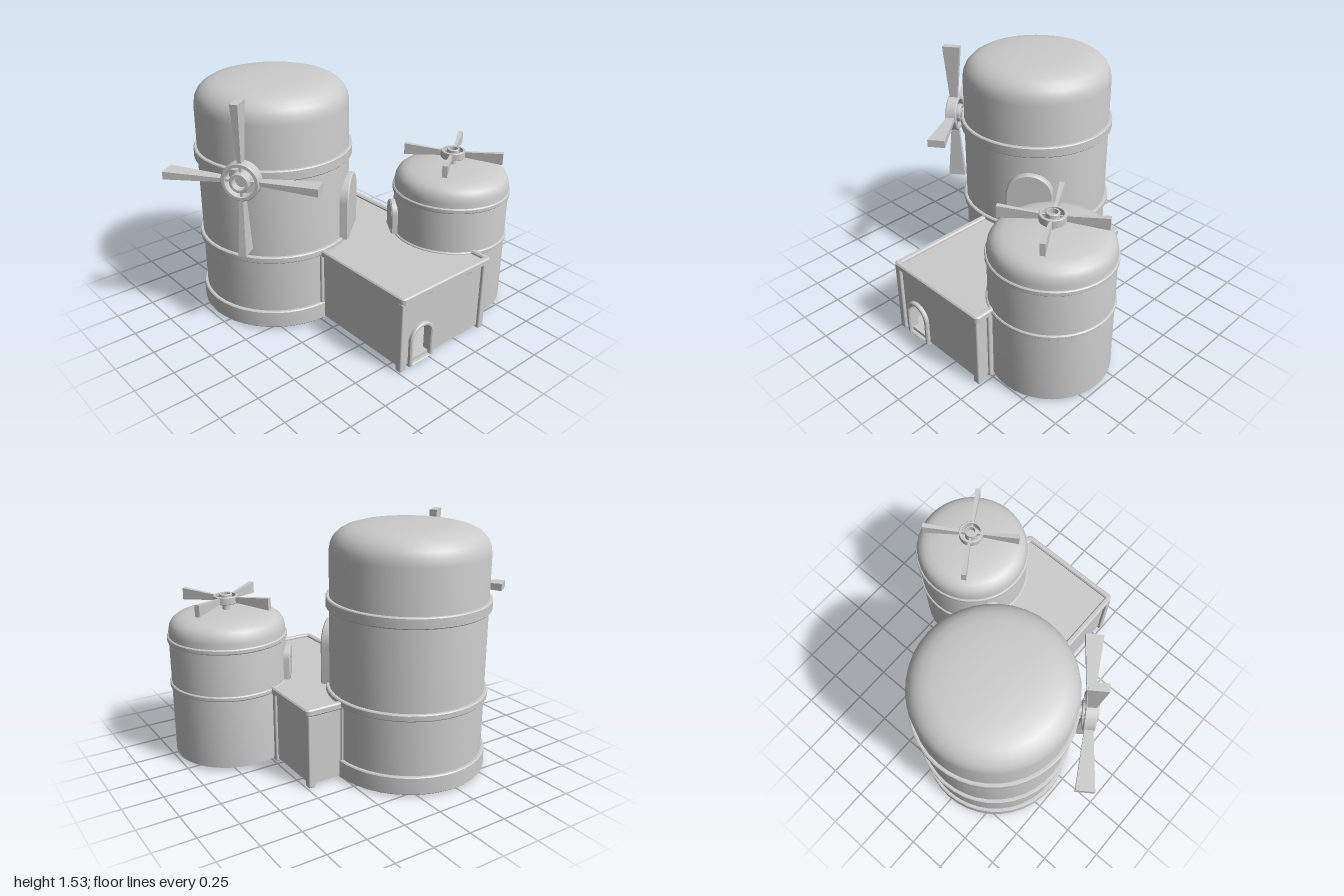
import * as THREE from 'three';
import { toCreasedNormals } from 'three/addons/utils/BufferGeometryUtils.js';
import { RoundedBoxGeometry } from 'three/addons/geometries/RoundedBoxGeometry.js';

const material = new THREE.MeshStandardMaterial({ color: 0xcccccc, side: THREE.DoubleSide });

function add(parent, name, geometry, x = 0, y = 0, z = 0) {
  const mesh = new THREE.Mesh(geometry, material);
  mesh.name = name;
  mesh.position.set(x, y, z);
  parent.add(mesh);
  return mesh;
}

function group(parent, name, x, y, z) {
  const g = new THREE.Group();
  g.name = name;
  g.position.set(x, y, z);
  parent.add(g);
  return g;
}

const lathe = (points, segments = 40) => toCreasedNormals(
  new THREE.LatheGeometry(points.map(([r, y]) => new THREE.Vector2(r, y)), segments), 0.6);

// Band with softened outer edges
function band(rIn, rOut, y0, y1, b = 0.006) {
  return lathe([[rIn, y0], [rOut - b, y0], [rOut, y0 + b], [rOut, y1 - b], [rOut - b, y1], [rIn, y1], [rIn, y0]]);
}

// Arched outline standing on y = 0
function arch(Type, half, height, cx = 0, y0 = 0) {
  const s = new Type();
  s.moveTo(cx - half, y0);
  s.lineTo(cx + half, y0);
  s.lineTo(cx + half, height - half);
  s.absarc(cx, height - half, half, 0, Math.PI, false);
  s.closePath();
  return s;
}

const extrude = (shape, depth, bevel = 0) => toCreasedNormals(new THREE.ExtrudeGeometry(shape, {
  depth, curveSegments: 10, bevelEnabled: bevel > 0, bevelSize: bevel, bevelThickness: bevel,
  bevelOffset: -bevel, bevelSegments: 1 }), 0.5);

// Arched frame, facing +z
function archFrame(half, height, thick, depth) {
  const s = arch(THREE.Shape, half, height);
  s.holes.push(arch(THREE.Path, half - thick, height - thick, 0, 0.015));
  return extrude(s, depth, depth * 0.12);
}

// Doorway on the side of a round tower
function towerDoor(parent, radius, angle, y, half, height) {
  const door = group(parent, 'towerDoor', 0, y, 0);
  door.rotation.y = angle;
  const t = half * 0.2;
  add(door, 'doorFrame', archFrame(half, height, t, 0.07), 0, 0, radius - 0.05);
  add(door, 'innerDoorFrame', archFrame(half - t, height - t, t * 0.8, 0.05), 0, 0, radius - 0.045);
  add(door, 'doorPanel', extrude(arch(THREE.Shape, half - t, height - t), 0.04), 0, 0, radius - 0.04);
}

// Four-bladed rotor, axle along z
function rotor(parent, x, y, z) {
  const g = group(parent, 'rotor', x, y, z);
  const rim = add(g, 'rotorRim', band(0.094, 0.117, -0.036, 0.036, 0.005));
  const core = add(g, 'rotorCore', band(0.042, 0.06, -0.05, 0.05, 0.005));
  const axle = add(g, 'axle', new THREE.CylinderGeometry(0.036, 0.036, 0.11, 24), 0, 0, -0.045);
  for (const part of [rim, core, axle]) part.rotation.x = Math.PI / 2;

  // Blades widen and thicken towards the tip
  const blade = new THREE.BoxGeometry(1, 1, 1);
  const p = blade.attributes.position;
  for (let i = 0; i < p.count; i++) {
    const tip = p.getX(i) > 0;
    p.setXYZ(i, tip ? 0.47 : 0.1, p.getY(i) * (tip ? 0.048 : 0.024), p.getZ(i) * (tip ? 0.112 : 0.05));
  }
  blade.computeVertexNormals();
  for (let i = 0; i < 4; i++) {
    const arm = group(g, 'bladeArm', 0, 0, 0);
    arm.rotation.z = i * Math.PI / 2;
    add(arm, 'blade', blade);
    add(arm, 'spoke', new THREE.BoxGeometry(0.06, 0.014, 0.04), 0.075, 0, 0);
  }
  return g;
}

// Rounded rectangle in plan; the shape's y is -z
function plan(Type, x0, x1, z0, z1, r) {
  const s = new Type();
  s.absarc(x1 - r, -z0 - r, r, 0, Math.PI / 2);
  s.absarc(x0 + r, -z0 - r, r, Math.PI / 2, Math.PI);
  s.absarc(x0 + r, -z1 + r, r, Math.PI, Math.PI * 1.5);
  s.absarc(x1 - r, -z1 + r, r, Math.PI * 1.5, Math.PI * 2);
  s.closePath();
  return s;
}

export function createModel() {
  const model = new THREE.Group();
  model.name = 'twinTowerWindmill';

  // Large tower
  const big = group(model, 'largeTower', -0.363, 0, 0.23);
  add(big, 'largeTowerBody', lathe([[0, 0.022], [0.48, 0.022], [0.48, 1.36], [0.472, 1.405], [0.455, 1.44],
    [0.425, 1.472], [0.385, 1.495], [0.33, 1.511], [0.23, 1.523], [0.11, 1.53], [0, 1.531]]));
  add(big, 'baseBand', band(0.45, 0.501, 0.01, 0.125));
  add(big, 'middleBand', band(0.45, 0.501, 0.475, 0.518));
  add(big, 'upperBand', band(0.45, 0.501, 1.022, 1.09));
  towerDoor(big, 0.485, Math.PI / 2 + 0.68, 0.505, 0.15, 0.4);

  // Small tower
  const small = group(model, 'smallTower', 0.394, 0, -0.623);
  add(small, 'smallTowerBody', lathe([[0, 0.025], [0.366, 0.025], [0.366, 0.83], [0.359, 0.865], [0.343, 0.893],
    [0.315, 0.914], [0.275, 0.927], [0.19, 0.939], [0.09, 0.945], [0, 0.946]]));
  add(small, 'lowerBand', band(0.34, 0.377, 0.47, 0.5));
  add(small, 'topBand', band(0.34, 0.377, 0.768, 0.8));
  towerDoor(small, 0.372, -0.576, 0.5, 0.078, 0.21);
  add(small, 'rotorStem', new THREE.CylinderGeometry(0.019, 0.019, 0.08, 20), 0, 0.965, 0);

  // Rotors: one on the large tower's wall, one on the small tower's roof
  rotor(model, -0.04, 1.054, 0.685).rotation.y = 0.61;
  const roofRotor = rotor(model, 0.394, 1.015, -0.623);
  roofRotor.scale.setScalar(0.665);
  roofRotor.rotation.set(-Math.PI / 2, 0, 0.576);

  // Hollow hall between the towers
  const hall = group(model, 'hall', 0, 0, 0);
  add(hall, 'floor', new THREE.BoxGeometry(1.2, 0.02, 0.7), 0.23, 0.03, -0.125);
  add(hall, 'frontWall', new THREE.BoxGeometry(1.2, 0.44, 0.03), 0.23, 0.245, 0.21);
  add(hall, 'backWall', new THREE.BoxGeometry(1.2, 0.44, 0.03), 0.23, 0.245, -0.46);
  add(hall, 'leftWall', new THREE.BoxGeometry(0.03, 0.44, 0.69), -0.355, 0.245, -0.125);

  // Right wall with its doorway
  const wall = new THREE.Shape();
  [[-0.225, 0.02], [0.475, 0.02], [0.475, 0.465], [-0.225, 0.465]].forEach(([x, y], i) =>
    i ? wall.lineTo(x, y) : wall.moveTo(x, y));
  wall.closePath();
  wall.holes.push(arch(THREE.Path, 0.074, 0.247, -0.068, 0.04));
  add(hall, 'rightWall', extrude(wall, 0.03), 0.805, 0, 0).rotation.y = Math.PI / 2;
  add(hall, 'hallDoorFrame', archFrame(0.098, 0.27, 0.026, 0.055), 0.797, 0.005, 0.068).rotation.y = Math.PI / 2;

  // Corner posts and posts where walls meet the towers
  for (const [x, z] of [[0.832, 0.222], [0.832, -0.468], [0.74, -0.468], [0.05, -0.468],
    [-0.362, -0.468], [-0.362, -0.24], [0.11, 0.222]])
    add(hall, 'post', new RoundedBoxGeometry(0.045, 0.47, 0.045, 2, 0.009), x, 0.235, z);

  // Flat roof with a raised rim
  const deck = add(hall, 'roofDeck', extrude(plan(THREE.Shape, -0.38, 0.85, -0.49, 0.24, 0.02), 0.025), 0, 0.465, 0);
  const rimShape = plan(THREE.Shape, -0.39, 0.862, -0.503, 0.247, 0.03);
  rimShape.holes.push(plan(THREE.Path, -0.352, 0.824, -0.465, 0.209, 0.008));
  const rim = add(hall, 'roofRim', extrude(rimShape, 0.028, 0.008), 0, 0.472, 0);
  deck.rotation.x = rim.rotation.x = -Math.PI / 2;

  return model;
}
